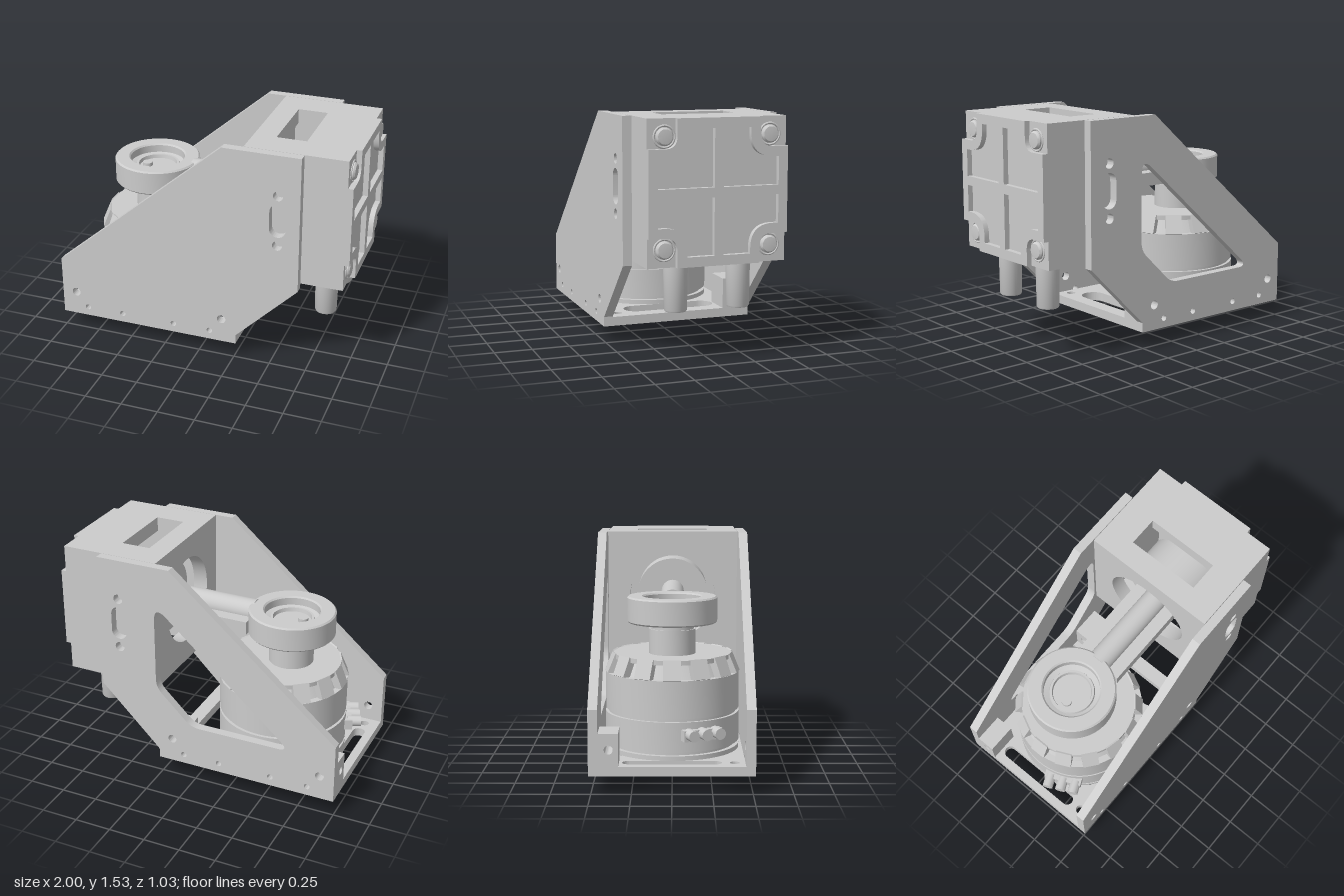
import * as THREE from 'three';
import { toCreasedNormals } from 'three/addons/utils/BufferGeometryUtils.js';

const V = (x, y) => new THREE.Vector2(x, y);
const material = new THREE.MeshStandardMaterial({ color: 0xcccccc, side: THREE.DoubleSide });

export function createModel() {
  const root = new THREE.Group();
  const add = (name, geo, x = 0, y = 0, z = 0, parent = root) => {
    const m = new THREE.Mesh(toCreasedNormals(geo, 0.6), material);
    m.name = name;
    m.position.set(x, y, z);
    parent.add(m);
    return m;
  };

  // Closed outline from corners [x, y, optional corner radius]
  const outline = (pts, Type = THREE.Shape) => {
    const s = new Type();
    pts.forEach(([x, y, r = 0], i) => {
      const c = V(x, y);
      const toward = (q) => V(q[0], q[1]).sub(c).normalize().multiplyScalar(r).add(c);
      const a = toward(pts[(i + pts.length - 1) % pts.length]);
      const b = toward(pts[(i + 1) % pts.length]);
      if (i === 0) s.moveTo(a.x, a.y); else s.lineTo(a.x, a.y);
      if (r) s.quadraticCurveTo(c.x, c.y, b.x, b.y);
    });
    s.closePath();
    return s;
  };
  const rect = (x0, x1, y0, y1, Type) => outline([[x0, y0], [x1, y0], [x1, y1], [x0, y1]], Type);
  const hole = (x, y, r) => new THREE.Path().absarc(x, y, r, 0, Math.PI * 2, true);
  // Vertical slot with round ends
  const slot = (x, y0, y1, r) => {
    const p = new THREE.Path();
    p.absarc(x, y1 - r, r, 0, Math.PI, false);
    p.absarc(x, y0 + r, r, Math.PI, Math.PI * 2, false);
    p.closePath();
    return p;
  };
  // Extrusions along z, x (shape u = -z) and y (shape v = -z)
  const extZ = (shape, holes, depth) => {
    shape.holes.push(...holes);
    return new THREE.ExtrudeGeometry(shape, { depth, bevelEnabled: false, curveSegments: 24 });
  };
  const extX = (...a) => extZ(...a).rotateY(Math.PI / 2);
  const extY = (...a) => extZ(...a).rotateX(-Math.PI / 2);
  const lathe = (pts, n = 64) => new THREE.LatheGeometry(pts.map((p) => V(...p)), n);

  // Side plates: the front one is solid, the back one has a window
  const plate = () => outline([[-1, 0.115], [0.265, 0.115], [0.265, 0.18], [0.685, 0.6],
    [0.685, 1.535], [0.165, 1.535], [-1, 0.53]]);
  const plateHoles = () => [
    hole(-0.9, 0.285, 0.03), hole(0.165, 0.285, 0.03),
    hole(0.54, 1.26, 0.033), hole(0.54, 0.91, 0.033), slot(0.54, 0.97, 1.2, 0.055),
    ...[-0.815, -0.555, -0.18, 0.08].map((x) => hole(x, 0.18, 0.02)),
  ];
  const windowCut = outline([[-0.69, 0.415, 0.09], [0.02, 0.415, 0.06], [0.277, 0.665, 0.06],
    [0.277, 1.275, 0.12]], THREE.Path);
  add('frontSidePlate', extZ(plate(), plateHoles(), 0.06), 0, 0, 0.456);
  add('backSidePlate', extZ(plate(), [...plateHoles(), windowCut], 0.06), 0, 0, -0.516);

  // Base plate with slots, screw holes and motor bore
  const mx = -0.43;
  const baseHoles = [slot(-0.9, -0.31, 0.31, 0.042), slot(0.083, -0.32, 0.32, 0.083), hole(mx, 0, 0.32)];
  for (const z of [-0.39, 0.39]) {
    for (const x of [-0.9, 0.165]) baseHoles.push(hole(x, z, 0.03));
    for (const x of [-0.7, -0.16]) baseHoles.push(hole(x, z * 0.8, 0.024));
  }
  add('basePlate', extY(rect(-1, 0.265, -0.456, 0.456), baseHoles, 0.06), 0, 0.115, 0);

  // Corner blocks along the back plate
  for (const [x, w] of [[-1, 0.2], [0.06, 0.205]])
    add('cornerBlock', extX(rect(0.33, 0.456, 0.175, 0.38), [hole(0.39, 0.28, 0.028)], w), x);

  // Motor: stacked rings, vented bell and output shaft
  const motor = new THREE.Group();
  motor.name = 'motor';
  motor.position.x = mx;
  root.add(motor);
  add('motorFace', extY(new THREE.Shape().absarc(0, 0, 0.31, 0, Math.PI * 2), [hole(0, 0, 0.16)], 0.05), 0, 0.125, 0, motor);
  add('motorBody', lathe([[0, 0.176], [0.435, 0.176], [0.435, 0.205], [0.405, 0.205], [0.405, 0.228],
    [0.435, 0.228], [0.435, 0.42], [0.415, 0.42], [0.415, 0.44], [0.433, 0.44], [0.433, 0.68],
    [0.39, 0.68], [0.34, 0.77], [0.385, 0.77], [0.385, 0.8], [0, 0.8]]), 0, 0, 0, motor);
  add('outputShaft', lathe([[0, 0], [0.045, 0], [0.052, 0.012], [0.052, 0.18], [0, 0.18]], 32), 0.01, 0, 0, motor);
  for (let i = 0; i < 14; i++) {
    const spoke = new THREE.Group();
    spoke.name = 'bellRib';
    spoke.rotation.y = (i / 14) * Math.PI * 2;
    motor.add(spoke);
    add('rib', new THREE.BoxGeometry(0.05, 0.13, 0.11), 0.388, 0.735, 0, spoke).rotation.z = 0.4;
  }
  // Cable outlets on the rim
  const cables = new THREE.Group();
  cables.name = 'cableOutlets';
  cables.rotation.y = Math.PI + 0.43;
  motor.add(cables);
  add('outletBlock', new THREE.BoxGeometry(0.08, 0.07, 0.26), 0.43, 0.34, 0, cables);
  for (const z of [-0.09, 0, 0.09])
    add('outletTube', new THREE.CylinderGeometry(0.036, 0.036, 0.09, 20).rotateZ(Math.PI / 2), 0.485, 0.35, z, cables);

  // Neck and wheel above the motor
  add('wheelNeck', lathe([[0.15, 0.79], [0.15, 0.96], [0.14, 0.96], [0.14, 1.01]]), -0.48);
  add('wheel', lathe([[0, 1.0], [0.28, 1.0], [0.29, 1.01], [0.29, 1.16], [0.28, 1.17], [0.195, 1.17],
    [0.185, 1.16], [0.185, 1.11], [0.15, 1.1], [0.145, 1.115], [0.13, 1.115], [0.125, 1.09], [0, 1.09]]), -0.48);
  add('wheelPin', new THREE.CylinderGeometry(0.034, 0.034, 0.03, 20), -0.55, 1.1, 0.015);

  // Arm from the wheel into the housing: round rod on a flat bed
  add('armRod', new THREE.CylinderGeometry(0.08, 0.08, 0.72, 32).rotateZ(Math.PI / 2), 0.14, 1.1, 0);
  add('armBed', new THREE.BoxGeometry(0.72, 0.09, 0.33), 0.14, 1.045, 0);

  // Housing: open box with a round port and slots above and below
  const housing = new THREE.Group();
  housing.name = 'housing';
  root.add(housing);
  add('portWall', extX(rect(-0.453, 0.453, 0.63, 1.535), [hole(0, 1.083, 0.3)], 0.1), 0.29, 0, 0, housing);
  add('endWall', new THREE.BoxGeometry(0.1, 0.905, 0.906), 0.915, 1.0825, 0, housing);
  for (const y of [0.63, 1.435])
    add('slottedWall', extY(rect(0.39, 0.865, -0.453, 0.453), [rect(0.44, 0.64, -0.245, 0.25, THREE.Path)], 0.1), 0, y, 0, housing);
  for (const z of [-0.403, 0.403])
    add('sideWall', new THREE.BoxGeometry(0.475, 0.705, 0.1), 0.6275, 1.0825, z, housing);
  add('innerDrum', new THREE.CylinderGeometry(0.25, 0.25, 0.28, 48).rotateZ(Math.PI / 2), 0.56, 1.0825, 0, housing);

  // Lid: cross-shaped rim with four recessed panels
  const quadrants = [[1, 1], [-1, 1], [-1, -1], [1, -1]];
  const corners = [];
  quadrants.forEach(([a, b], i) => {
    const p = [[a * 0.453, b * 0.27], [a * 0.27, b * 0.27, 0.08], [a * 0.27, b * 0.4525]];
    corners.push(...(i % 2 ? p.reverse() : p));
  });
  const panels = quadrants.map(([a, b]) => outline([[0.03, 0.03], [0.393, 0.03], [0.393, 0.207],
    [0.207, 0.207, 0.15], [0.207, 0.39], [0.03, 0.39]].map(([u, v, r]) => [a * u, b * v, r]), THREE.Path));
  add('lid', extX(outline(corners), panels, 0.035), 0.965, 1.0825, 0, housing);

  // Corner screws on the lid
  for (const [a, b] of quadrants) {
    add('screwSeat', new THREE.TorusGeometry(0.066, 0.007, 8, 32).rotateY(Math.PI / 2), 0.966, 1.0825 + b * 0.343, a * 0.343, housing);
    add('screwHead', lathe([[0.056, 0], [0.056, 0.012], [0.046, 0.024], [0, 0.028]], 32).rotateZ(-Math.PI / 2),
      0.965, 1.0825 + b * 0.343, a * 0.343, housing);
  }

  // Hollow spouts under the housing
  for (const z of [-0.21, 0.21])
    add('spout', lathe([[0, 0.45], [0.045, 0.45], [0.045, 0.32], [0.068, 0.32], [0.073, 0.33], [0.078, 0.64]], 40), 0.8, 0, z, housing);

  return root;
}
